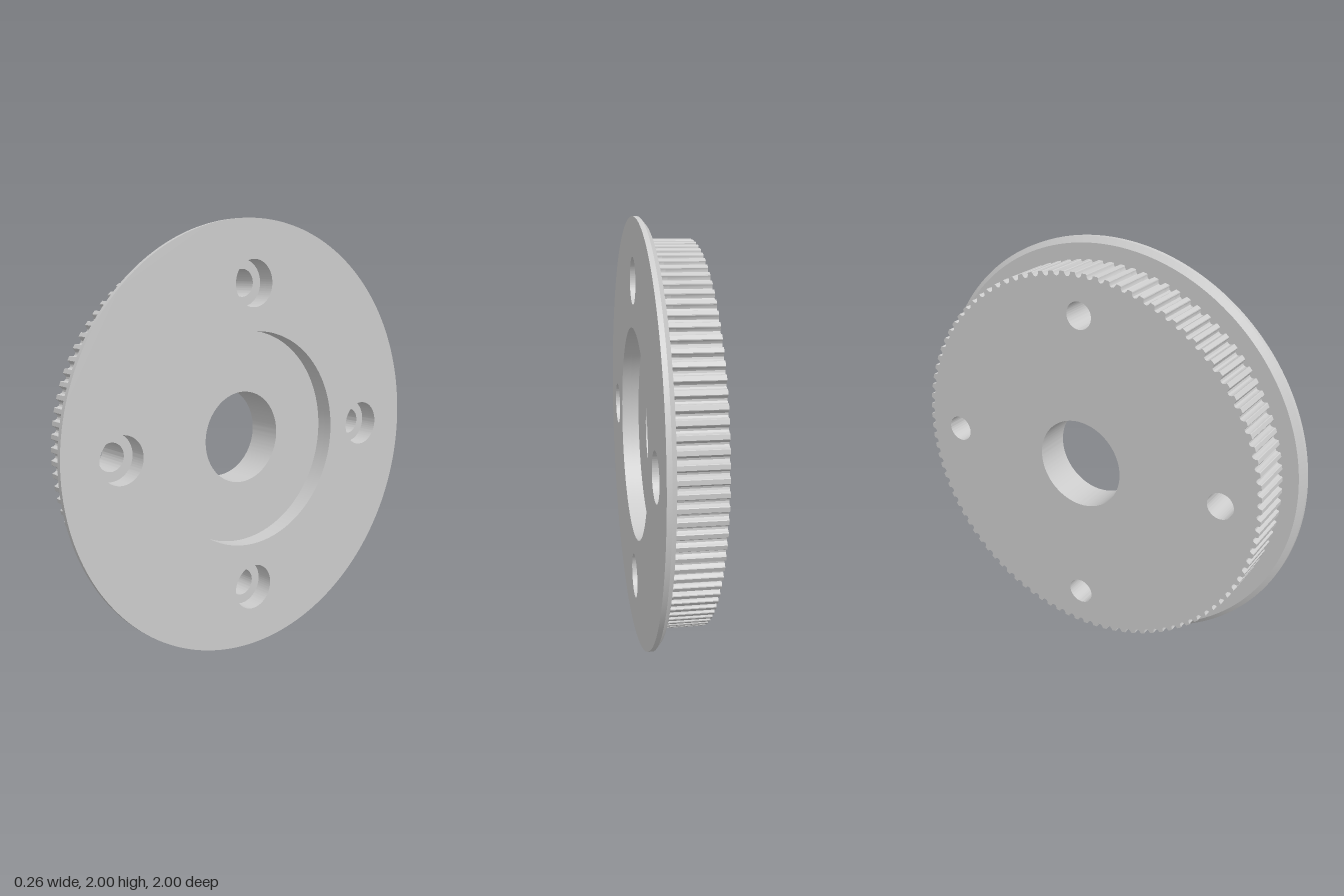
import * as THREE from 'three';
import { toCreasedNormals } from 'three/addons/utils/BufferGeometryUtils.js';

const TEETH = 100, TIP_R = 0.902;
const BORE_R = 0.215, RECESS_R = 0.5, BOLT_R = 0.063, COUNTERBORE_R = 0.107, BOLT_CIRCLE = 0.715;
// Positions along the axle: back face, recess floor, flange back, front face
const BACK = -0.132, FLOOR = 0.044, FLANGE = 0.087, FRONT = 0.13;

// One belt groove: [fraction of tooth pitch, depth]
const GROOVE = [[-0.33, 0], [-0.28, 0.003], [-0.25, 0.011], [-0.15, 0.019], [0, 0.0215],
  [0.15, 0.019], [0.25, 0.011], [0.28, 0.003], [0.33, 0]];

function toothedOutline() {
  const points = [];
  for (let i = 0; i < TEETH; i++) {
    for (const [f, depth] of GROOVE) {
      const a = (i + f) / TEETH * Math.PI * 2, r = TIP_R - depth;
      points.push(new THREE.Vector2(r * Math.cos(a), r * Math.sin(a)));
    }
  }
  return new THREE.Shape(points);
}

function roundOutline(r) {
  return new THREE.Shape().absarc(0, 0, r, 0, Math.PI * 2, false);
}

// Cuts the centre opening and four bolt holes
function drill(shape, centreR, boltR) {
  const hole = (x, y, r) => shape.holes.push(new THREE.Path().absarc(x, y, r, 0, Math.PI * 2, true));
  hole(0, 0, centreR);
  for (let i = 0; i < 4; i++) {
    const a = i * Math.PI / 2;
    hole(BOLT_CIRCLE * Math.cos(a), BOLT_CIRCLE * Math.sin(a), boltR);
  }
  return shape;
}

// Extrudes a slice of the wheel along the x axis
function slice(name, shape, from, to, steps = 1, shapeVertices) {
  let geo = new THREE.ExtrudeGeometry(shape, { depth: to - from, steps, bevelEnabled: false, curveSegments: 96 });
  if (shapeVertices) shapeVertices(geo.attributes.position);
  geo.translate(0, 0, from);
  geo.rotateY(Math.PI / 2);
  geo = toCreasedNormals(geo, 0.5);
  const mesh = new THREE.Mesh(geo, new THREE.MeshStandardMaterial({ color: 0xcccccc }));
  mesh.name = name;
  return mesh;
}

// Draws in the rear rim of the flange to make its chamfer
function chamfer(pos) {
  for (let i = 0; i < pos.count; i++) {
    const x = pos.getX(i), y = pos.getY(i);
    if (pos.getZ(i) < 0.001 && Math.hypot(x, y) > 0.99) pos.setXY(i, x * 0.975, y * 0.975);
  }
}

export function createModel() {
  const wheel = new THREE.Group();
  wheel.name = 'timingPulley';
  wheel.add(
    slice('toothedHub', drill(toothedOutline(), BORE_R, BOLT_R), BACK, FLOOR),
    slice('toothedRecessRing', drill(toothedOutline(), RECESS_R, COUNTERBORE_R), FLOOR, FLANGE),
    slice('flange', drill(roundOutline(1), RECESS_R, COUNTERBORE_R), FLANGE, FRONT, 2, chamfer)
  );
  wheel.position.y = 1;
  const model = new THREE.Group();
  model.add(wheel);
  return model;
}
